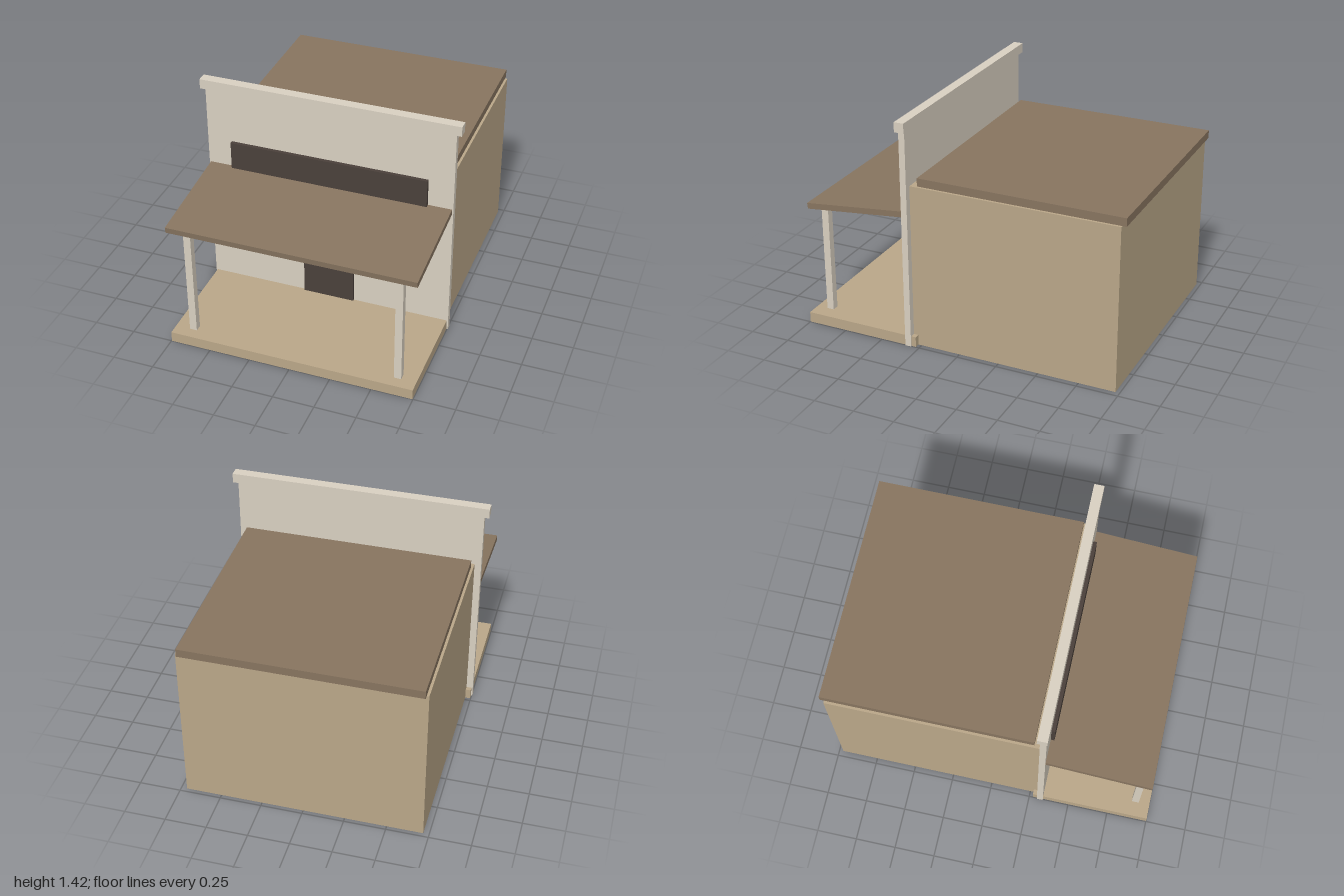
import * as THREE from 'three';

const paint = (color) => new THREE.MeshStandardMaterial({ color });

export function createModel() {
  const model = new THREE.Group();
  model.name = 'storefront';

  const tan = paint(0xb9a688);
  const cream = paint(0xd8cfc0);
  const brown = paint(0x87745f);
  const dark = paint(0x4a403a);

  // Box given by its extents along each axis
  function block(name, material, [x0, x1], [y0, y1], [z0, z1]) {
    const mesh = new THREE.Mesh(new THREE.BoxGeometry(x1 - x0, y1 - y0, z1 - z0), material);
    mesh.position.set((x0 + x1) / 2, (y0 + y1) / 2, (z0 + z1) / 2);
    mesh.name = name;
    model.add(mesh);
    return mesh;
  }

  // Main building and its flat roof
  block('building', tan, [-0.715, 0.715], [0, 1.017], [-0.975, 0.305]);
  block('roof', brown, [-0.7, 0.7], [1.017, 1.067], [-1, 0.26]);

  // Tall false front with cornice and blank sign board
  block('falseFront', cream, [-0.755, 0.755], [0, 1.36], [0.3, 0.338]);
  block('cornice', cream, [-0.785, 0.785], [1.36, 1.42], [0.287, 0.347]);
  block('signBoard', dark, [-0.603, 0.603], [0.855, 1.035], [0.333, 0.36]);

  // Porch floor
  block('porchDeck', tan, [-0.747, 0.747], [0, 0.065], [0.272, 1]);

  // Door, windows and porch posts
  block('door', dark, [-0.158, 0.158], [0, 0.67], [0.325, 0.35]);
  for (const [side, s] of [['left', 1], ['right', -1]]) {
    const span = (a, b) => (s > 0 ? [a, b] : [-b, -a]);
    block(side + 'Window', dark, span(0.317, 0.557), [0.288, 0.638], [0.325, 0.349]);
    block(side + 'PorchPost', cream, span(0.613, 0.657), [0.065, 0.752], [0.888, 0.932]);
  }

  // Awning, tilted down towards the front
  const awning = block('awning', brown, [-0.747, 0.747], [0.796, 0.832], [0.333, 0.971]);
  awning.rotation.x = 0.105;

  return model;
}
